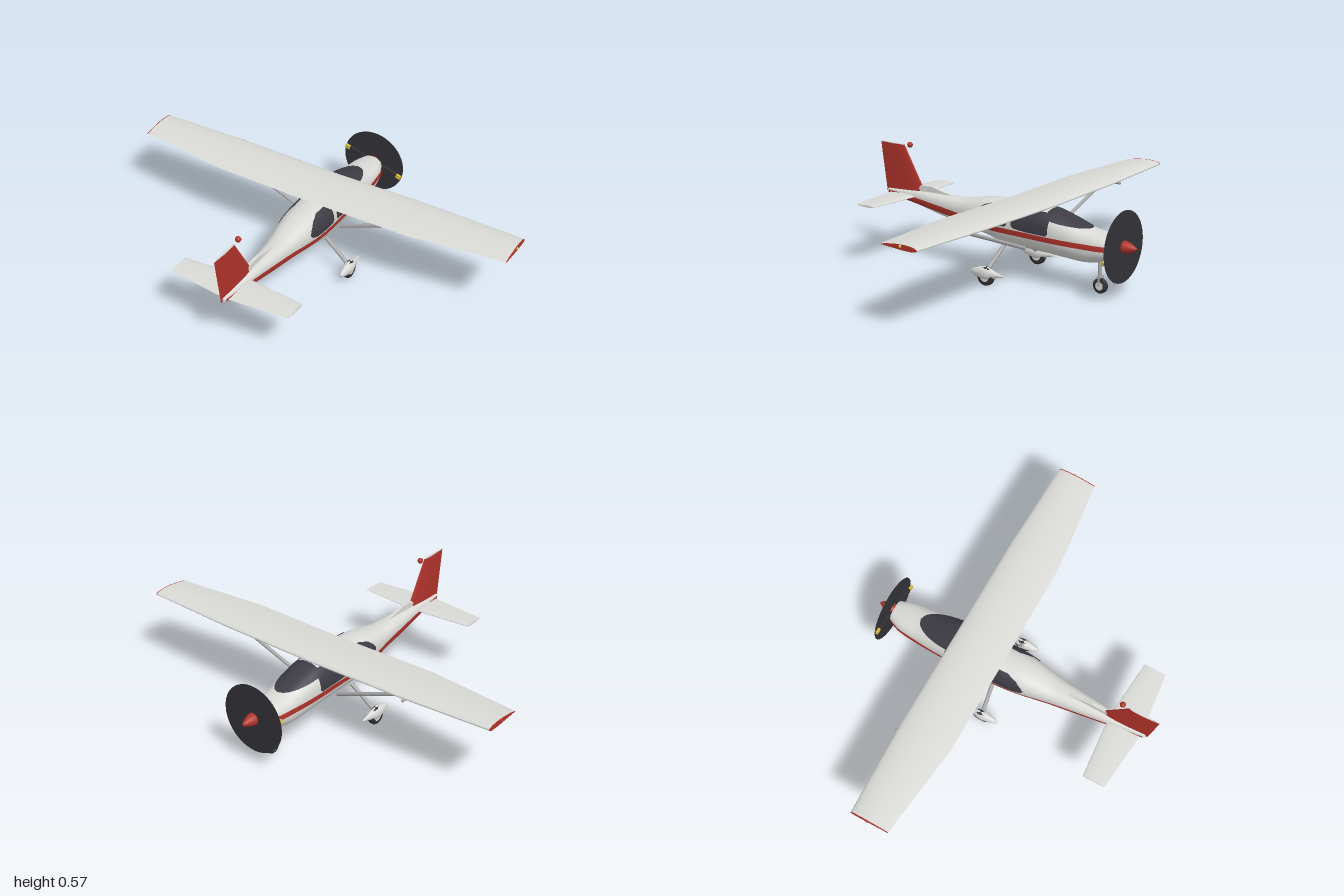
import * as THREE from 'three';

const paint = (name, color, side = THREE.FrontSide) => Object.assign(new THREE.MeshStandardMaterial({ color, side }), { name });

// Smooth lookup in a table of [z, value, value...] rows
function sample(rows, z, smooth) {
  let i = 0;
  while (i < rows.length - 2 && z > rows[i + 1][0]) i++;
  const a = rows[i], b = rows[i + 1], p = rows[Math.max(i - 1, 0)], q = rows[Math.min(i + 2, rows.length - 1)];
  const d = b[0] - a[0], t = THREE.MathUtils.clamp((z - a[0]) / d, 0, 1);
  return a.slice(1).map((v, k) => {
    const w = b[k + 1];
    if (!smooth) return v + (w - v) * t;
    const m0 = (w - p[k + 1]) / (b[0] - p[0]) * d, m1 = (q[k + 1] - v) / (q[0] - a[0]) * d;
    return (2 * t ** 3 - 3 * t * t + 1) * v + (t ** 3 - 2 * t * t + t) * m0 + (3 * t * t - 2 * t ** 3) * w + (t ** 3 - t * t) * m1;
  });
}

// Skin over rings of points that run counter-clockwise about the loft direction
function loft(rings, caps = true) {
  const n = rings[0].length, pos = rings.flat(2), idx = [];
  for (let i = 0; i < rings.length - 1; i++) for (let j = 0; j < n - 1; j++) {
    const a = i * n + j, c = a + n;
    idx.push(a, a + 1, c, a + 1, c + 1, c);
  }
  if (caps) [rings[0], rings[rings.length - 1]].forEach((ring, end) => {
    const base = pos.length / 3;
    pos.push(...ring.flat(), ...[0, 1, 2].map(k => ring.reduce((s, p) => s + p[k], 0) / n));
    for (let j = 0; j < n - 1; j++) idx.push(base + n, base + j + (end ? 0 : 1), base + j + (end ? 1 : 0));
  });
  const g = new THREE.BufferGeometry();
  g.setAttribute('position', new THREE.Float32BufferAttribute(pos, 3));
  g.setIndex(idx);
  g.computeVertexNormals();
  return g;
}

const range = (n, a, b) => Array.from({ length: n + 1 }, (_, i) => a + (b - a) * i / n);

// Aerofoil outline from trailing edge around the nose and back: [along chord, offset]
const foil = (thick, camber = 0) => range(32, 0, 2 * Math.PI).map(t => {
  const u = (1 + Math.cos(t)) / 2;
  const h = 5 * thick * (0.2969 * Math.sqrt(u) - 0.126 * u - 0.3516 * u * u + 0.2843 * u ** 3 - 0.1 * u ** 4);
  return [u, (t < Math.PI ? -h : h) + camber * Math.sin(Math.PI * u)];
});

// Fuselage stations: z, top, bottom, half width
const BODY = [[-0.66, 0.275, 0.19, 0.052], [-0.6, 0.286, 0.163, 0.078], [-0.5, 0.302, 0.143, 0.09],
  [-0.39, 0.337, 0.146, 0.097], [-0.3, 0.362, 0.15, 0.1], [-0.2, 0.37, 0.153, 0.1], [-0.05, 0.37, 0.162, 0.1],
  [0.06, 0.365, 0.185, 0.093], [0.145, 0.35, 0.203, 0.08], [0.225, 0.337, 0.215, 0.066], [0.34, 0.335, 0.23, 0.052],
  [0.5, 0.331, 0.262, 0.034], [0.7, 0.318, 0.295, 0.012]];
const POWER = 2.4;
function section(z, grow = 0) {
  const [top, bottom, w] = sample(BODY, z, true);
  return { c: (top + bottom) / 2, h: (top - bottom) / 2 + grow, w: w + grow };
}
const arc = v => Math.pow(Math.max(0, 1 - Math.abs(v) ** POWER), 1 / POWER);

// Thin painted plate on the fuselage side, between low and high y along z
function sidePlate(rows, side) {
  const rings = range(48, rows[0][0], rows[rows.length - 1][0]).map(z => {
    const s = section(z, 0.003), [lo, hi] = sample(rows, z);
    return range(10, side > 0 ? lo : hi, side > 0 ? hi : lo).map(y => {
      const v = THREE.MathUtils.clamp((y - s.c) / s.h, -0.99, 0.99);
      return [side * s.w * arc(v), s.c + v * s.h, z];
    });
  });
  return loft(rings, false);
}

export function createModel() {
  const white = paint('white paint', 0xd9d9d6), red = paint('red paint', 0xb0332b);
  const glass = paint('dark glass', 0x3d3c45, THREE.DoubleSide), black = paint('black rubber', 0x323136);
  const metal = paint('grey metal', 0xa8a8a8), yellow = paint('yellow paint', 0xd8bf3a);
  const model = new THREE.Group();
  model.name = 'airplane';
  const add = (name, geo, mat, x = 0, y = 0, z = 0) => {
    const m = new THREE.Mesh(geo, mat);
    m.name = name;
    m.position.set(x, y, z);
    model.add(m);
    return m;
  };
  const bar = (name, a, b, r, mat, flat = 1) => {
    const p = new THREE.Vector3(...a), d = new THREE.Vector3(...b).sub(p);
    const m = add(name, new THREE.CylinderGeometry(r, r, d.length(), 14), mat);
    m.position.copy(p).addScaledVector(d, 0.5);
    m.quaternion.setFromUnitVectors(new THREE.Vector3(0, 1, 0), d.normalize());
    m.scale.x = flat;
    return m;
  };

  // Fuselage
  add('fuselage', loft(range(80, -0.66, 0.7).map(z => {
    const s = section(z);
    return range(48, -Math.PI / 2, 1.5 * Math.PI).map(t => {
      const f = v => Math.sign(v) * Math.abs(v) ** (2 / POWER);
      return [s.w * f(Math.cos(t)), s.c + s.h * f(Math.sin(t)), z];
    });
  })), white);

  // Stripes and cabin windows
  const STRIPE = [[-0.66, 0.22, 0.244], [-0.37, 0.222, 0.247], [0, 0.23, 0.256], [0.34, 0.255, 0.287], [0.56, 0.277, 0.307], [0.69, 0.297, 0.312]];
  const REAR = [[-0.099, 0.275, 0.35], [-0.09, 0.263, 0.359], [0, 0.262, 0.359], [0.05, 0.268, 0.345], [0.08, 0.28, 0.322], [0.094, 0.297, 0.303]];
  const DOOR = [[-0.328, 0.262, 0.342], [-0.318, 0.252, 0.352], [-0.2, 0.255, 0.361], [-0.135, 0.262, 0.361], [-0.125, 0.272, 0.352]];
  for (const s of [-1, 1]) {
    add('stripe', sidePlate(STRIPE, s), red);
    add('rearWindow', sidePlate(REAR, s), glass);
    add('doorWindow', sidePlate(DOOR, s), glass);
  }
  add('windshield', loft(range(24, -0.512, -0.3).map(z => {
    const s = section(z, 0.003), half = 0.086 * Math.sqrt(Math.max(0, 1 - ((z + 0.3) / 0.212) ** 2));
    return range(24, half, -half).map(x => [x, s.c + s.h * arc(x / s.w), z]);
  }), false), glass);

  // Wing
  const wingRing = (x, tip = Math.abs(x) > 0.6) => {
    const [z0, z1] = tip ? [-0.293, -0.096] : [-0.31, -0.043];
    const y = 0.376 + 0.013 * Math.abs(x);
    return foil(0.12, 0.02).map(([u, h]) => [x, y + h * (z1 - z0), z0 + u * (z1 - z0)]);
  };
  add('wing', loft([-0.99, -0.52, 0, 0.52, 0.99].map(x => wingRing(x))), white);
  for (const s of [-1, 1]) {
    add('wingTip', loft([0.989, 0.994].map(x => wingRing(s * x)).sort((a, b) => a[0][0] - b[0][0])), red);
    add('tipLight', new THREE.SphereGeometry(0.008, 12, 8), s < 0 ? red : yellow, s * 0.992, 0.396, -0.207);
    // Wing struts with end fittings
    bar('wingStrut', [s * 0.085, 0.172, -0.19], [s * 0.59, 0.37, -0.203], 0.009, metal);
    add('strutFitting', new THREE.BoxGeometry(0.03, 0.014, 0.024), metal, s * 0.585, 0.374, -0.203);
  }
  const pitot = add('pitotTube', new THREE.CapsuleGeometry(0.007, 0.03, 4, 10), metal, -0.555, 0.376, -0.3);
  pitot.rotation.x = Math.PI / 2;

  // Tailplane
  add('tailplane', loft([[-0.313, 0.535, 0.647], [0, 0.508, 0.68], [0.313, 0.535, 0.647]].map(([x, z0, z1]) =>
    foil(0.09).map(([u, h]) => [x, 0.303 + h * (z1 - z0), z0 + u * (z1 - z0)]))), white);

  // Fin, white fin cap and dorsal fillet
  const finRing = y => {
    const t = (y - 0.297) / 0.257, z0 = 0.449 + 0.147 * t, z1 = 0.71 + 0.037 * t;
    return foil(0.085).map(([u, h]) => [-h * (z1 - z0), y, z0 + u * (z1 - z0)]);
  };
  add('fin', loft([finRing(0.297), finRing(0.551)]), red);
  add('finCap', loft([finRing(0.55), finRing(0.554)]), white);
  const fillet = new THREE.Shape([[0.28, 0.325], [0.52, 0.32], [0.49, 0.36], [0.415, 0.362], [0.37, 0.35], [0.3, 0.336]].map(p => new THREE.Vector2(...p)));
  add('dorsalFillet', new THREE.ExtrudeGeometry(fillet, { depth: 0.016, bevelEnabled: false })
    .translate(0, 0, -0.008).rotateY(-Math.PI / 2), white);
  add('beacon', new THREE.SphereGeometry(0.014, 16, 12), red, 0, 0.555, 0.56);

  // Propeller, spinning disc and spinner
  const propeller = new THREE.Group();
  propeller.name = 'propeller';
  propeller.position.set(0, 0.24, -0.666);
  propeller.rotation.z = -0.27;
  model.add(propeller);
  for (const s of [-1, 1]) {
    const blade = add('blade', new THREE.BoxGeometry(0.14, 0.022, 0.012), black, s * 0.07);
    const tip = add('bladeTip', new THREE.BoxGeometry(0.028, 0.02, 0.012), yellow, s * 0.153);
    propeller.add(blade, tip);
  }
  const disc = add('propellerDisc', new THREE.CylinderGeometry(0.168, 0.168, 0.002, 48), black, 0, 0.24, -0.675);
  disc.rotation.x = Math.PI / 2;
  const nose = [[0.022, -0.01], [0.03, 0], [0.03, 0.012], [0.024, 0.035], [0.014, 0.058], [0.006, 0.07], [0, 0.074]];
  const spinner = add('spinner', new THREE.LatheGeometry(nose.map(p => new THREE.Vector2(...p)), 28), red, 0, 0.24, -0.671);
  spinner.rotation.x = -Math.PI / 2;

  // Wheels with hubs
  const wheel = (name, x, y, z, r, w) => {
    const e = w * 0.4, pts = [[r * 0.5, -w], [r - e, -w], [r, -w + e], [r, w - e], [r - e, w], [r * 0.5, w]];
    add(name, new THREE.LatheGeometry(pts.map(p => new THREE.Vector2(...p)), 28), black, x, y, z).rotation.z = Math.PI / 2;
    add(name + 'Hub', new THREE.CylinderGeometry(r * 0.56, r * 0.56, w * 2.1, 24), white, x, y, z).rotation.z = Math.PI / 2;
  };

  // Main gear: leg, wheel and fairing
  const fairing = [[0, -0.022], [0.009, -0.02], [0.019, 0], [0.027, 0.025], [0.033, 0.055], [0.031, 0.075], [0.021, 0.1], [0.011, 0.13], [0.004, 0.158], [0, 0.16]];
  for (const s of [-1, 1]) {
    bar('mainLeg', [s * 0.075, 0.172, -0.075], [s * 0.21, 0.065, -0.062], 0.01, metal);
    wheel('mainWheel', s * 0.212, 0.045, -0.062, 0.045, 0.014);
    const pant = add('wheelFairing', new THREE.LatheGeometry(fairing.map(p => new THREE.Vector2(...p)), 24), white, s * 0.212, 0.058, 0);
    pant.rotation.x = -Math.PI / 2;
    pant.scale.x = 0.75;
  }

  // Nose gear
  bar('noseLeg', [0, 0.165, -0.55], [0, 0.074, -0.555], 0.009, metal);
  add('forkCrown', new THREE.BoxGeometry(0.036, 0.008, 0.018), metal, 0, 0.078, -0.555);
  for (const s of [-1, 1]) bar('noseFork', [s * 0.016, 0.08, -0.555], [s * 0.016, 0.036, -0.557], 0.004, metal);
  wheel('noseWheel', 0, 0.036, -0.557, 0.036, 0.012);
  return model;
}
